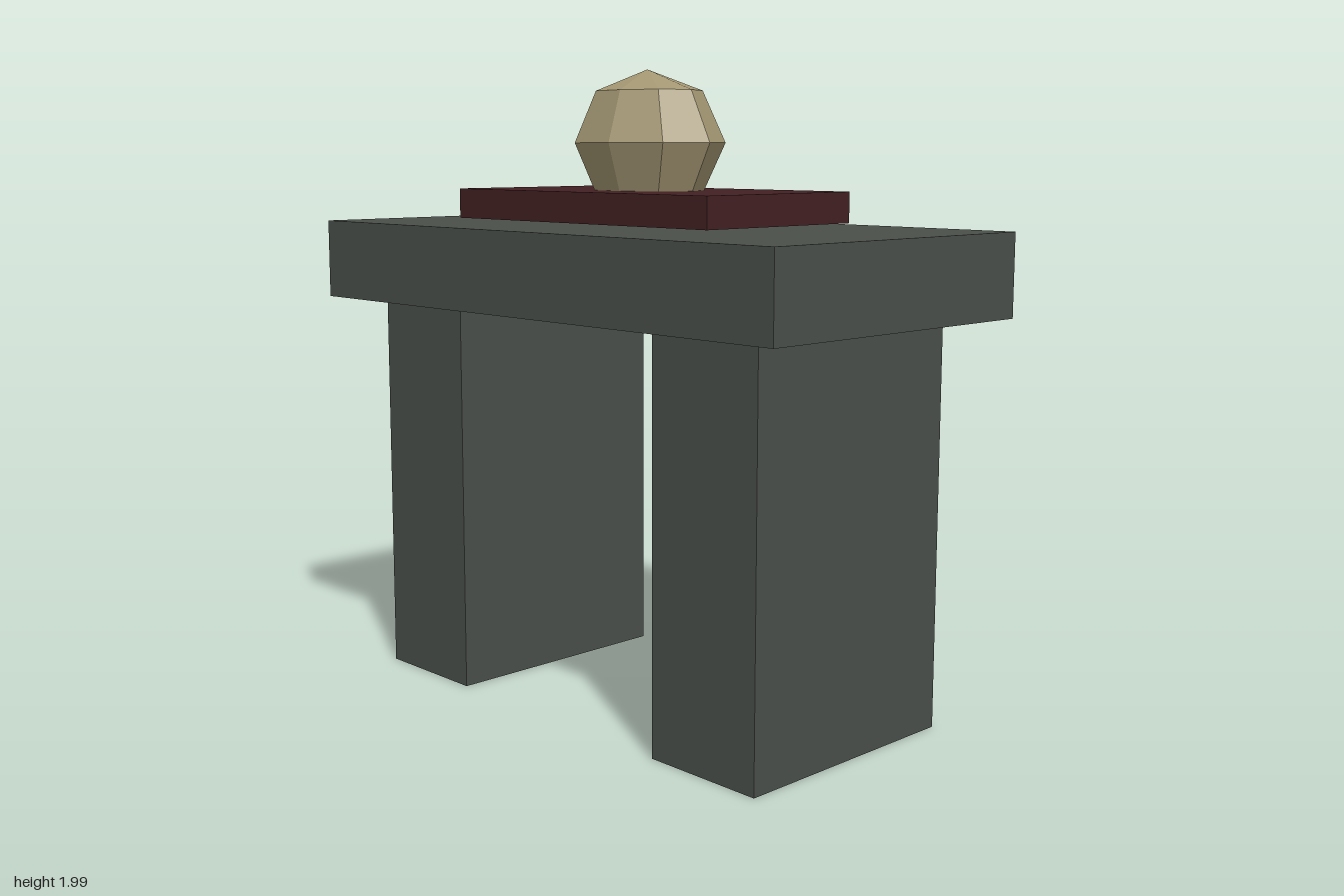
import * as THREE from 'three';

const flat = (name, color) => {
  const m = new THREE.MeshStandardMaterial({ color, flatShading: true });
  m.name = name;
  return m;
};

export function createModel() {
  const stone = flat('darkStone', 0x4a4f4a);
  const cloth = flat('darkRed', 0x422022);
  const bone = flat('bone', 0xa39672);

  const group = new THREE.Group();
  group.name = 'stoneAltar';

  const add = (name, geometry, material, x, y, z) => {
    const mesh = new THREE.Mesh(geometry, material);
    mesh.name = name;
    mesh.position.set(x, y, z);
    group.add(mesh);
    return mesh;
  };

  // Two upright supports
  const legHeight = 1.254;
  for (const [name, side] of [['leftLeg', 1], ['rightLeg', -1]]) {
    add(name, new THREE.BoxGeometry(0.4, legHeight, 0.8), stone, side * 0.64, legHeight / 2, 0);
  }

  // Overhanging table slab
  add('slab', new THREE.BoxGeometry(2, 0.253, 1.04), stone, 0, 1.381, 0);

  // Plate hovering just above the slab
  add('plate', new THREE.BoxGeometry(1.114, 0.094, 0.61), cloth, 0, 1.571, 0);

  // Nine-sided faceted egg sunk into the plate, one corner towards +x
  const ball = add('facetedBall', new THREE.SphereGeometry(1, 9, 4, Math.PI), bone, 0, 1.763, 0);
  ball.scale.set(0.27, 0.223, 0.208);

  return group;
}
